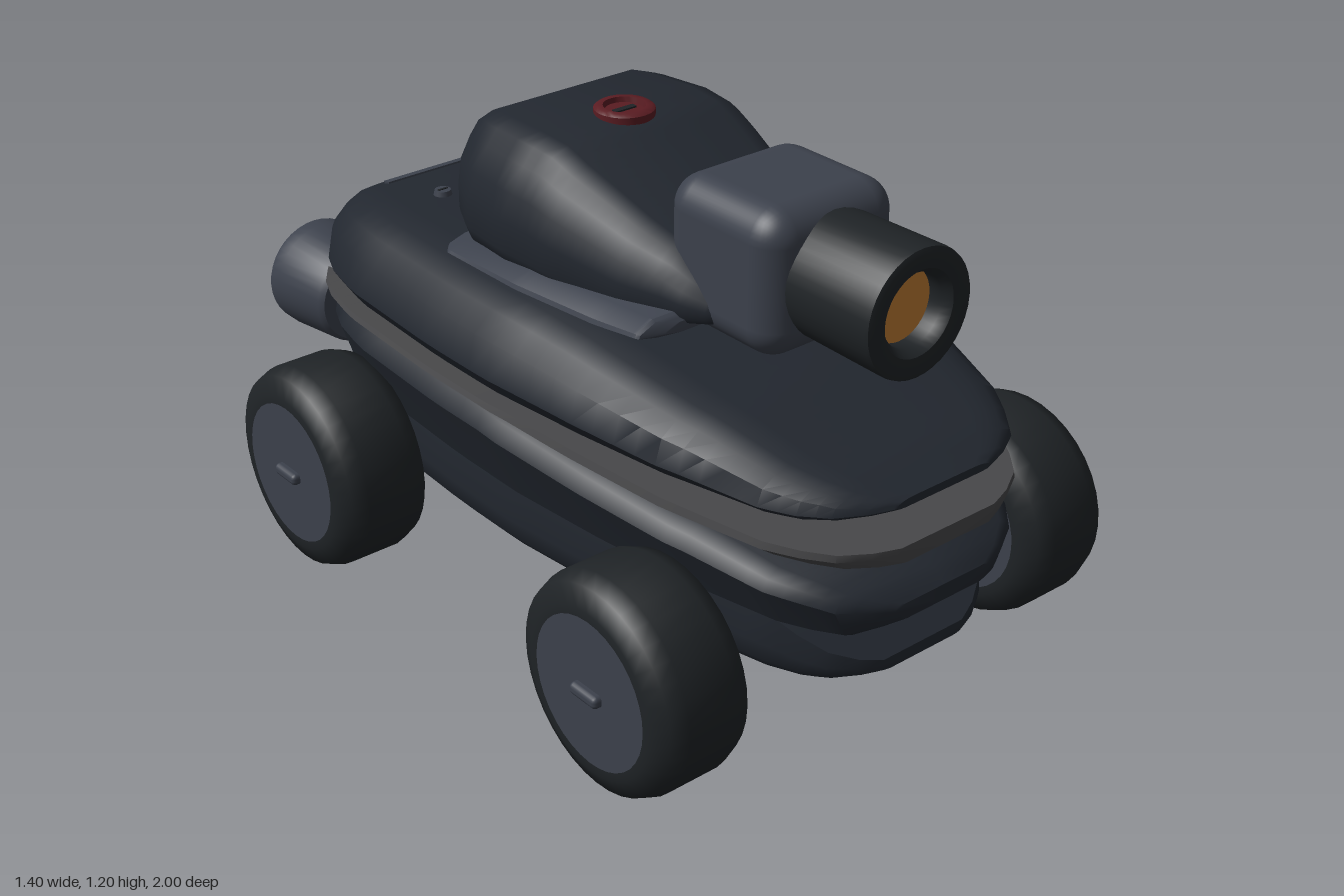
import * as THREE from 'three';
import { toCreasedNormals } from 'three/addons/utils/BufferGeometryUtils.js';
import { RoundedBoxGeometry } from 'three/addons/geometries/RoundedBoxGeometry.js';

const paint = (color) => new THREE.MeshStandardMaterial({ color });
const armour = paint(0x22272f), grey = paint(0x3c414c), rubber = paint(0x1f2326);
const trim = paint(0x48484a), amber = paint(0xc07c34), red = paint(0x5a1c22);

// Linear interpolation in a list of [z, value], z descending
function at(list, z) {
  if (z >= list[0][0]) return list[0][1];
  for (let i = 1; i < list.length; i++) {
    const [z1, v1] = list[i - 1], [z2, v2] = list[i];
    if (z >= z2) return v2 + (v1 - v2) * (z - z2) / (z1 - z2);
  }
  return list[list.length - 1][1];
}

// Body lofted along z: plan gives half width, section is a right half [x fraction, height fraction]
function loft({ z0, z1, plan, scale = 1, bottom, top, section }) {
  const ring = [...section, ...section.slice(1, -1).reverse().map(([x, t]) => [-x, t])];
  const steps = 44, m = ring.length, pos = [], idx = [];
  const planFront = plan[0][0], planBack = plan[plan.length - 1][0];
  for (let i = 0; i <= steps; i++) {
    const k = (1 - Math.cos(Math.PI * i / steps)) / 2;
    const z = z0 + (z1 - z0) * k;
    const w = at(plan, planBack + (planFront - planBack) * k) * scale;
    const lo = at(bottom, z), hi = at(top, z);
    for (const [x, t] of ring) pos.push(x * w, lo + (hi - lo) * t, z);
  }
  for (let i = 0; i < steps; i++) {
    for (let j = 0; j < m; j++) {
      const a = i * m + j, b = i * m + (j + 1) % m;
      idx.push(a, b, a + m, b, b + m, a + m);
    }
  }
  for (let j = 1; j < m - 1; j++) {
    idx.push(0, j + 1, j, steps * m, steps * m + j, steps * m + j + 1);
  }
  const geo = new THREE.BufferGeometry();
  geo.setAttribute('position', new THREE.Float32BufferAttribute(pos, 3));
  geo.setIndex(idx);
  return toCreasedNormals(geo, 0.65);
}

const lathe = (points, creaseAngle = 0.7) => toCreasedNormals(
  new THREE.LatheGeometry(points.map(([r, y]) => new THREE.Vector2(r, y)), 36), creaseAngle);

function add(parent, name, geometry, material, x = 0, y = 0, z = 0) {
  const mesh = new THREE.Mesh(geometry, material);
  mesh.name = name;
  mesh.position.set(x, y, z);
  parent.add(mesh);
  return mesh;
}

const hullPlan = [[0.99, 0.14], [0.97, 0.2], [0.93, 0.27], [0.87, 0.32], [0.8, 0.36], [0.55, 0.43], [0.3, 0.47],
  [0.03, 0.5], [-0.2, 0.5], [-0.55, 0.48], [-0.68, 0.45], [-0.77, 0.41], [-0.84, 0.35], [-0.88, 0.29], [-0.91, 0.2]];

const bodies = {
  lowerHull: {
    z0: -0.86, z1: 0.95, plan: hullPlan, scale: 0.88,
    bottom: [[0.95, 0.24], [0.85, 0.225], [-0.78, 0.225], [-0.86, 0.28]],
    top: [[0.95, 0.27], [0.89, 0.31], [0.78, 0.38], [0.5, 0.4], [-0.84, 0.4], [-0.86, 0.3]],
    section: [[0, 0], [0.8, 0], [0.93, 0.08], [0.98, 0.22], [1, 0.5], [0.98, 1], [0, 1]],
  },
  middleHull: {
    z0: -0.88, z1: 1, plan: hullPlan, scale: 0.985,
    bottom: [[1, 0.4], [0.94, 0.37], [-0.75, 0.38], [-0.88, 0.42]],
    top: [[1, 0.44], [0.97, 0.465], [0.89, 0.5], [0.62, 0.555], [0.25, 0.6], [0, 0.63], [-0.82, 0.625], [-0.88, 0.57]],
    section: [[0, 0], [0.8, 0], [0.88, 0.08], [0.93, 0.35], [1, 0.7], [0.96, 0.88], [0.87, 1], [0, 1]],
  },
  beltTrim: {
    z0: -0.91, z1: 1, plan: hullPlan,
    bottom: [[1, 0.545], [0.6, 0.56], [0.25, 0.585], [0, 0.61], [-0.7, 0.61], [-0.91, 0.59]],
    top: [[1, 0.585], [0.65, 0.607], [0.3, 0.632], [0.1, 0.643], [-0.91, 0.64]],
    section: [[0, 0], [0.9, 0], [1, 0.6], [0.99, 1], [0, 1]],
  },
  upperHull: {
    z0: -0.885, z1: 0.98, plan: hullPlan,
    bottom: [[0.98, 0.665], [0.86, 0.647], [-0.77, 0.645], [-0.885, 0.7]],
    top: [[0.98, 0.685], [0.89, 0.72], [0.62, 0.79], [0.25, 0.85], [0.05, 0.87], [-0.6, 0.865],
      [-0.74, 0.85], [-0.83, 0.81], [-0.87, 0.78], [-0.885, 0.72]],
    section: [[0, 0], [0.8, 0], [0.94, 0.08], [1, 0.27], [0.96, 0.65], [0.86, 0.85], [0.75, 0.97], [0.6, 1], [0, 1]],
  },
  turret: {
    z0: -0.425, z1: 0.48,
    plan: [[0.48, 0.14], [0.45, 0.19], [0.4, 0.225], [0.25, 0.285], [0.05, 0.335], [-0.1, 0.345],
      [-0.25, 0.33], [-0.33, 0.295], [-0.385, 0.245], [-0.415, 0.19], [-0.425, 0.13]],
    bottom: [[0.48, 0.9], [0.25, 0.863], [-0.26, 0.865], [-0.38, 0.905], [-0.425, 0.95]],
    top: [[0.48, 0.935], [0.46, 0.965], [0.35, 1.04], [0.14, 1.125], [0, 1.18], [-0.1, 1.188], [-0.29, 1.18],
      [-0.35, 1.15], [-0.38, 1.1], [-0.425, 0.97]],
    section: [[0, 0], [0.85, 0], [0.95, 0.07], [1, 0.2], [1, 0.43], [0.965, 0.65], [0.87, 0.83], [0.78, 0.95], [0.64, 1], [0, 1]],
  },
};

// Skirt plate that shows as a grey wedge on each flank of the turret
const skirt = {
  z0: -0.3, z1: 0.4,
  plan: [[0.4, 0.27], [0.385, 0.34], [0, 0.38], [-0.27, 0.375], [-0.3, 0.35]],
  bottom: [[0.4, 0.88], [0.25, 0.862], [-0.3, 0.862]],
  top: [[0.4, 0.905], [0.38, 0.922], [0, 0.915], [-0.3, 0.89]],
  section: [[0, 0], [0.85, 0], [1, 0.3], [0.99, 0.5], [0.86, 1], [0, 1]],
};

// Hollow round housing opening towards +z with an amber lens inside
function lamp(name, material, profile, lensRadius, lensZ) {
  const group = new THREE.Group();
  group.name = name;
  add(group, 'housing', lathe(profile).rotateX(Math.PI / 2), material);
  add(group, 'lens', new THREE.CircleGeometry(lensRadius, 32), amber, 0, 0, lensZ);
  return group;
}

// Wheel with its axis along x, hubcap and bolt on the outer side
function wheel() {
  const group = new THREE.Group();
  group.name = 'wheel';
  const tyre = [[0.18, -0.125], [0.2, -0.125], [0.245, -0.105], [0.26, -0.065],
    [0.26, 0.065], [0.245, 0.105], [0.2, 0.125], [0.18, 0.125]];
  add(group, 'tyre', lathe(tyre, 1).rotateZ(-Math.PI / 2), rubber);
  add(group, 'hub', new THREE.CylinderGeometry(0.18, 0.18, 0.25, 36).rotateZ(-Math.PI / 2), grey);
  add(group, 'hubBolt', new RoundedBoxGeometry(0.04, 0.03, 0.09, 2, 0.012), grey, 0.125);
  return group;
}

export function createModel() {
  const model = new THREE.Group();
  model.name = 'armouredRover';

  for (const [name, spec] of Object.entries(bodies)) {
    add(model, name, loft(spec), name === 'beltTrim' ? trim : armour);
  }
  add(model, 'turretSkirt', loft(skirt), grey);

  // Gun mantlet and barrel
  add(model, 'mantlet', new RoundedBoxGeometry(0.38, 0.345, 0.36, 5, 0.075), grey, 0, 1.035, 0.46);
  const barrel = lamp('barrel', rubber, [[0.145, -0.3], [0.15, -0.01], [0.148, 0], [0.135, 0.005],
    [0.1, 0], [0.085, -0.02], [0.085, -0.06]], 0.086, -0.055);
  barrel.position.set(0, 1.035, 0.88);
  model.add(barrel);

  // Rear lamps and the four wheels, mirrored left and right
  for (const side of [1, -1]) {
    const rear = lamp('rearLamp', grey, [[0, -0.225], [0.115, -0.225], [0.125, -0.21], [0.142, -0.05], [0.142, -0.012],
      [0.132, 0], [0.105, 0], [0.09, -0.02], [0.085, -0.06]], 0.086, -0.055);
    rear.position.set(side * 0.3, 0.54, -1);
    rear.rotation.y = Math.PI;
    model.add(rear);

    for (const z of [0.635, -0.545]) {
      const w = wheel();
      w.position.set(side * 0.555, 0.265, z);
      if (side < 0) w.rotation.y = Math.PI;
      model.add(w);
    }

    // Deck screws
    add(model, 'deckScrew', new THREE.CylinderGeometry(0.02, 0.025, 0.02, 20), grey, side * 0.18, 0.868, -0.565);
    add(model, 'screwSlot', new THREE.BoxGeometry(0.028, 0.004, 0.006), rubber, side * 0.18, 0.878, -0.565);
  }

  // Rear deck strip
  add(model, 'deckStrip', new THREE.BoxGeometry(0.46, 0.012, 0.022), grey, 0, 0.848, -0.74).rotation.x = -0.15;

  // Hatch ring on the turret roof
  add(model, 'hatchRing', lathe([[0.072, -0.02], [0.072, 0.012], [0.064, 0.018], [0.05, 0.018], [0.045, -0.01]]),
    red, 0, 1.186, -0.075);
  add(model, 'hatchDisc', new THREE.CylinderGeometry(0.046, 0.046, 0.01, 28), red, 0, 1.187, -0.075);
  add(model, 'hatchSlot', new THREE.BoxGeometry(0.06, 0.008, 0.016), rubber, 0, 1.192, -0.075);
  return model;
}
